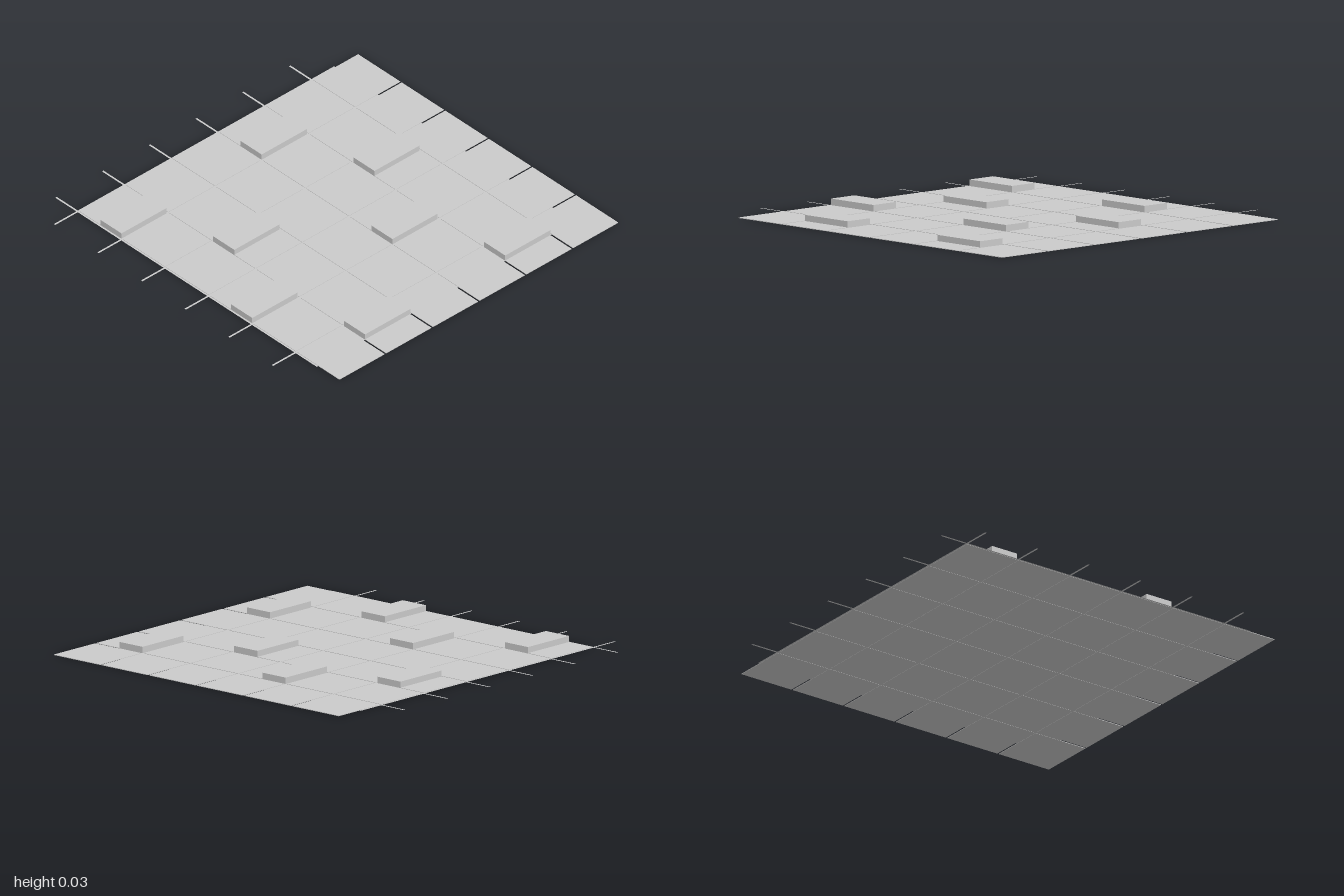
import * as THREE from 'three';

const CELLS = 6;
const PITCH = 2 / 6.5;      // two half tiles plus one joint
const JOINT = 0.01;
const THICK = 0.003;        // paving thickness
const BRICK_H = 0.033;

export function createModel() {
  const model = new THREE.Group();
  const mat = new THREE.MeshStandardMaterial({ color: 0xcccccc, flatShading: true });
  const jointMat = new THREE.MeshStandardMaterial({ color: 0xcccccc, side: THREE.DoubleSide });

  const add = (parent, name, geometry, material, x, y, z) => {
    const mesh = new THREE.Mesh(geometry, material);
    mesh.name = name;
    mesh.position.set(x, y, z);
    parent.add(mesh);
    return mesh;
  };
  const group = (name) => {
    const g = new THREE.Group();
    g.name = name;
    model.add(g);
    return g;
  };

  // The paving and the joint strips are shifted half a cell apart,
  // so slits stay open on two sides and strips stick out on the others.
  const x0 = 1 - CELLS * PITCH;
  const z0 = -1;
  const cellX = (i) => x0 + (i + 0.5) * PITCH;
  const cellZ = (j) => z0 + (j + 0.5) * PITCH;

  // Paving: each cell holds four small tiles laid edge to edge
  const paving = group('paving');
  const size = (PITCH - JOINT) / 2;
  const tileGeo = new THREE.BoxGeometry(size, THICK, size);
  for (let i = 0; i < CELLS; i++)
    for (let j = 0; j < CELLS; j++)
      for (const sx of [-1, 1])
        for (const sz of [-1, 1])
          add(paving, 'tile', tileGeo, mat,
            cellX(i) + sx * size / 2, THICK / 2, cellZ(j) + sz * size / 2);

  // Joint strips: flat ribbons filling the gaps in both directions
  const joints = group('jointStrips');
  const length = CELLS * PITCH;
  const alongZ = new THREE.PlaneGeometry(JOINT, length).rotateX(-Math.PI / 2);
  const alongX = new THREE.PlaneGeometry(length, JOINT).rotateX(-Math.PI / 2);
  for (let k = 0; k < CELLS; k++) {
    add(joints, 'lengthwiseStrip', alongZ, jointMat, x0 + k * PITCH, 0.0012, 1 - length / 2);
    add(joints, 'crosswiseStrip', alongX, jointMat, -1 + length / 2, 0.001, z0 + (k + 1) * PITCH);
  }

  // Raised bricks: half a cell wide, as [column, row, half of the cell]
  const bricks = group('raisedBricks');
  const brickGeo = new THREE.BoxGeometry(size, BRICK_H, size * 2);
  for (const row of [0, 3])
    for (const [col, r, side] of [[2, 1, -1], [5, 1, -1], [0, 2, 1], [3, 2, 1]])
      add(bricks, 'raisedBrick', brickGeo, mat,
        cellX(col) + side * size / 2, BRICK_H / 2, cellZ(row + r));

  return model;
}
